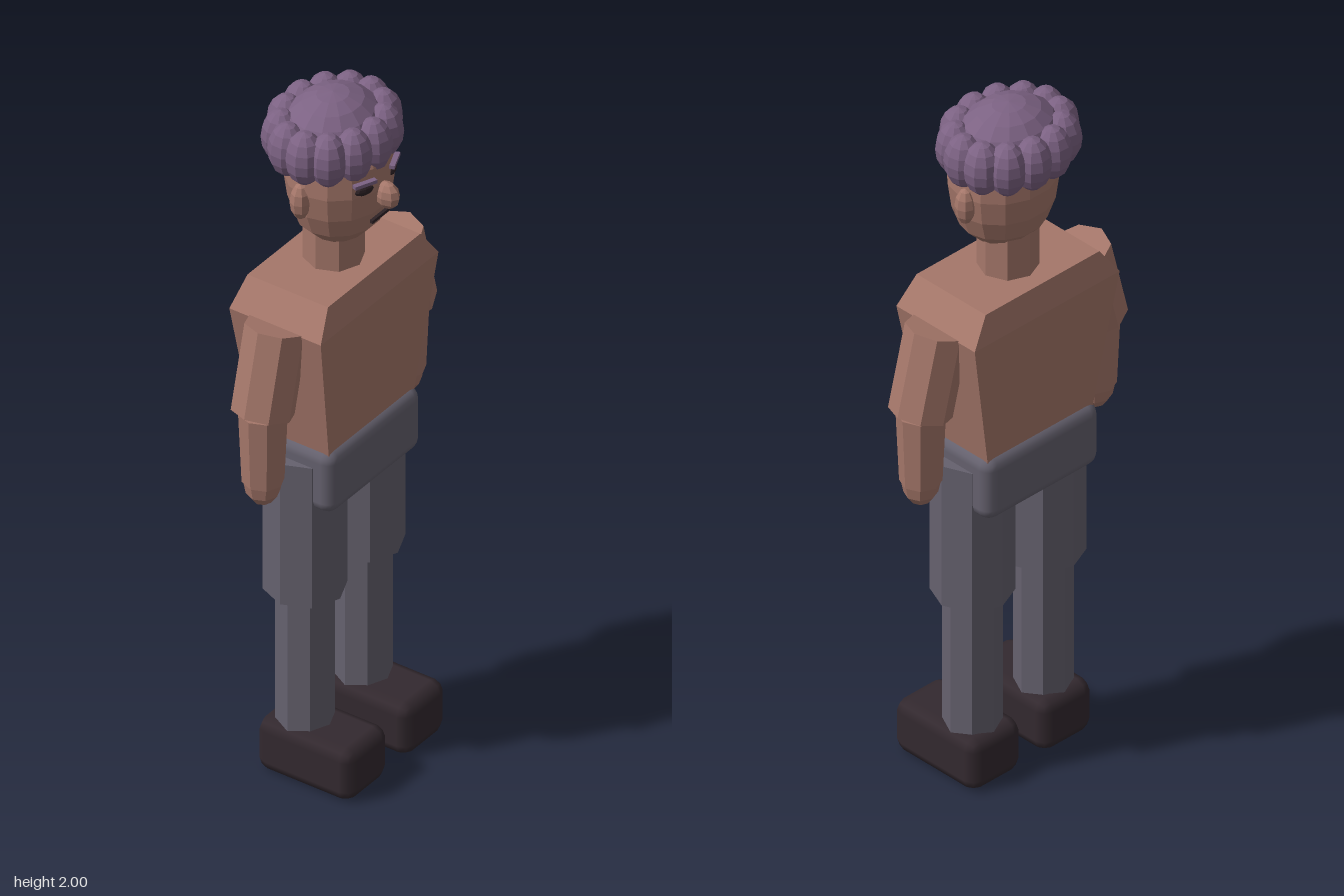
import * as THREE from 'three';
import { RoundedBoxGeometry } from 'three/addons/geometries/RoundedBoxGeometry.js';

const material = (name, color, flat = true) => {
  const m = new THREE.MeshStandardMaterial({ color, flatShading: flat });
  m.name = name;
  return m;
};

export function createModel() {
  const skin = material('skin', 0xa5776a);
  const trousers = material('trousers', 0x65616e);
  const hipCloth = material('trousers smooth', 0x65616e, false);
  const leather = material('shoe leather', 0x33292f, false);
  const hair = material('hair', 0x7c6283);
  const dark = material('dark features', 0x2e2226);
  const model = new THREE.Group();
  model.name = 'figure';
  const midZ = -0.015;

  const add = (name, geometry, mat, x = 0, y = 0, z = 0, parent = model) => {
    const mesh = new THREE.Mesh(geometry, mat);
    mesh.name = name;
    mesh.position.set(x, y, z);
    parent.add(mesh);
    return mesh;
  };
  const ball = (rx, ry, rz, w = 10, h = 8) => new THREE.SphereGeometry(1, w, h).scale(rx, ry, rz);
  const limb = (top, bottom, length) => new THREE.CylinderGeometry(top, bottom, length, 8);

  // Torso: stacked rectangles, [y, half width, half depth]
  const torso = new THREE.BoxGeometry(2, 2, 2, 1, 2, 1);
  const levels = [[1.0, 0.18, 0.115], [1.42, 0.255, 0.142], [1.5, 0.2, 0.125]];
  const p = torso.attributes.position;
  for (let i = 0; i < p.count; i++) {
    const [y, w, d] = levels[Math.round(p.getY(i)) + 1];
    p.setXYZ(i, p.getX(i) * w, y, p.getZ(i) * d);
  }
  torso.computeVertexNormals();
  add('torso', torso, skin, 0, 0, midZ);
  add('neck', limb(0.08, 0.08, 0.16), skin, 0, 1.57, midZ);
  add('hips', new RoundedBoxGeometry(0.4, 0.19, 0.27, 2, 0.035), hipCloth, 0, 0.945, midZ);

  // Arms and legs
  for (const [side, s] of [['left', 1], ['right', -1]]) {
    const arm = new THREE.Group();
    arm.name = side + 'Arm';
    model.add(arm);
    const upper = add('upperArm', limb(0.083, 0.083, 0.24), skin, s * 0.279, 1.306, midZ, arm);
    upper.rotation.z = s * 0.25;
    upper.rotation.order = 'ZYX';
    upper.rotation.y = Math.PI / 4;
    add('forearm', limb(0.064, 0.055, 0.21), skin, s * 0.307, 1.085, midZ, arm);
    add('hand', ball(0.052, 0.068, 0.05, 8, 6), skin, s * 0.307, 0.978, midZ, arm);

    const leg = new THREE.Group();
    leg.name = side + 'Leg';
    model.add(leg);
    add('thigh', limb(0.109, 0.109, 0.43), trousers, s * 0.125, 0.77, midZ, leg);
    add('shin', limb(0.077, 0.077, 0.44), trousers, s * 0.125, 0.36, midZ, leg);
    add('shoe', new RoundedBoxGeometry(0.178, 0.155, 0.295, 1, 0.033), leather,
      s * 0.125, 0.0775, 0.0385, leg);
  }

  // Head: turned profile, slightly narrower front to back
  const head = new THREE.Group();
  head.name = 'head';
  model.add(head);
  const profile = [[0, 1.585], [0.075, 1.595], [0.12, 1.64], [0.142, 1.7], [0.152, 1.77],
    [0.147, 1.84], [0.115, 1.9], [0, 1.94]].map(([x, y]) => new THREE.Vector2(x, y));
  const skull = new THREE.LatheGeometry(profile, 14, Math.PI / 14);
  skull.scale(1, 1, 0.9);
  add('skull', skull, skin, 0, 0, 0.003, head);
  add('nose', ball(0.026, 0.039, 0.038, 8, 6), skin, 0, 1.75, 0.15, head);
  add('mouth', new THREE.BoxGeometry(0.075, 0.009, 0.009), dark, 0, 1.678, 0.128, head);
  for (const s of [1, -1]) {
    add('ear', ball(0.028, 0.053, 0.028, 8, 6), skin, s * 0.148, 1.748, -0.013, head);
    const eye = add('eye', ball(0.028, 0.014, 0.009, 8, 6), dark, s * 0.062, 1.787, 0.124, head);
    const brow = add('eyebrow', new THREE.BoxGeometry(0.065, 0.01, 0.016), hair,
      s * 0.064, 1.81, 0.127, head);
    eye.rotation.y = brow.rotation.y = s * 0.4;
  }

  // Hair: a low dome ringed by overlapping curls
  const curls = new THREE.Group();
  curls.name = 'hair';
  model.add(curls);
  add('hairDome', ball(0.152, 0.118, 0.13, 14, 10), hair, 0, 1.882, -0.018, curls);
  const count = 13;
  for (let i = 0; i < count; i++) {
    const a = (i / count) * Math.PI * 2 + 0.1;
    const curl = add('curl', ball(0.052, 0.077, 0.052), hair,
      Math.cos(a) * 0.148, 1.886, -0.018 + Math.sin(a) * 0.122, curls);
    curl.rotation.y = -a;
  }
  return model;
}
